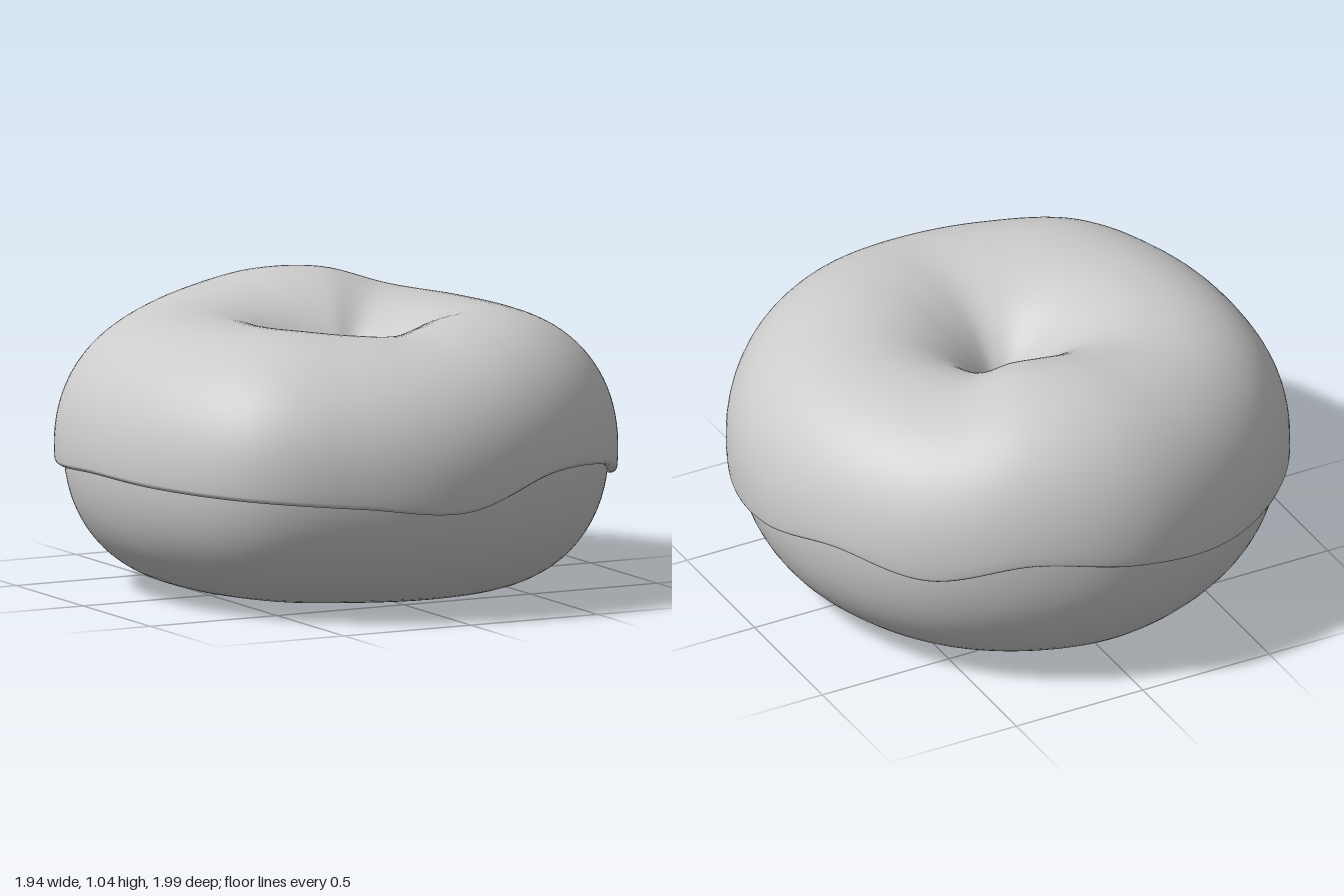
import * as THREE from 'three';

// Values every 22.5 degrees, starting at the front (+z) and turning towards +x
const RADIUS = [0.997, 0.99, 0.985, 0.98, 0.967, 0.957, 0.967, 0.977, 0.997, 0.99, 0.99, 0.985, 0.972, 0.995, 1.035, 1.0];
const EDGE = [0.41, 0.51, 0.49, 0.4, 0.43, 0.51, 0.485, 0.57, 0.52, 0.455, 0.45, 0.455, 0.48, 0.475, 0.465, 0.44];
const TOP = [0.945, 0.965, 0.975, 0.965, 0.96, 0.965, 0.98, 1.035, 1.04, 1.01, 0.98, 0.97, 0.97, 0.97, 0.97, 0.955];

const HOLE = 0.022;
const HOLE_X = 0.02;
const MID = 0.49;
const AROUND = 192;

// Smooth periodic interpolation of a ring of values
function ring(values, a) {
  const n = values.length;
  const t = (a / (2 * Math.PI)) * n;
  const i = Math.floor(t);
  const f = t - i;
  const [p, q, r, s] = [-1, 0, 1, 2].map((k) => values[(i + k + n) % n]);
  return q + 0.5 * f * (r - p + f * (2 * p - 5 * q + 4 * r - s + f * (3 * (q - r) + s - p)));
}

// Point [radius, height] on the slightly squared tube section
function tube(phi, inner, outer, bottom, top) {
  const c = Math.cos(phi);
  const s = Math.sin(phi);
  const e = c > 0 ? 0.93 : 1;
  const half = (outer - inner) / 2;
  return [
    (inner + outer) / 2 + half * Math.sign(c) * Math.abs(c) ** e,
    MID + (s > 0 ? top - MID : MID - bottom) * Math.sign(s) * Math.abs(s) ** e,
  ];
}

// Sweep a varying section around the vertical axis
function sweep(section) {
  const pos = [];
  const index = [];
  let rows = 0;
  for (let i = 0; i < AROUND; i++) {
    const a = (i / AROUND) * 2 * Math.PI;
    const pts = section(a);
    rows = pts.length;
    for (const [r, y] of pts) {
      pos.push(r * Math.sin(a) + HOLE_X * Math.max(0, 1 - r), y, r * Math.cos(a));
    }
  }
  for (let i = 0; i < AROUND; i++) {
    const next = (i + 1) % AROUND;
    for (let j = 0; j < rows - 1; j++) {
      const p = i * rows + j;
      const q = next * rows + j;
      index.push(p, p + 1, q, q, p + 1, q + 1);
    }
  }
  const geo = new THREE.BufferGeometry();
  geo.setAttribute('position', new THREE.Float32BufferAttribute(pos, 3));
  geo.setIndex(index);
  geo.computeVertexNormals();
  return geo;
}

// Dough: the full ring, a little inside the icing
function doughSection(a) {
  const outer = ring(RADIUS, a) - 0.033;
  const bottom = 0.012 - 0.012 * Math.cos(a - 2.3);
  const top = ring(TOP, a) - 0.04;
  const pts = [];
  for (let j = 0; j <= 72; j++) {
    pts.push(tube(Math.PI - (j / 72) * 2 * Math.PI, HOLE + 0.004, outer, bottom, top));
  }
  return pts;
}

// Icing: from the hole over the top to a wavy rim with a rounded lip
function icingSection(a) {
  const outer = ring(RADIUS, a);
  const edge = ring(EDGE, a);
  const top = ring(TOP, a);
  const s = (edge - MID) / (edge > MID ? top - MID : MID);
  const end = Math.sign(s) * Math.asin(Math.abs(s) ** (1 / 0.93));
  const pts = [];
  for (let j = 0; j <= 48; j++) {
    pts.push(tube(Math.PI + (j / 48) * (end - Math.PI), HOLE, outer, 0, top));
  }
  const [r, y] = pts[pts.length - 1];
  pts.push([r - 0.004, y - 0.01], [r - 0.014, y - 0.017], [r - 0.027, y - 0.018], [r - 0.055, y - 0.006]);
  return pts;
}

export function createModel() {
  const group = new THREE.Group();
  group.name = 'icedRing';
  const material = new THREE.MeshStandardMaterial({ color: 0xcccccc, side: THREE.DoubleSide });
  for (const [name, section] of [['dough', doughSection], ['icing', icingSection]]) {
    const mesh = new THREE.Mesh(sweep(section), material);
    mesh.name = name;
    group.add(mesh);
  }
  return group;
}
